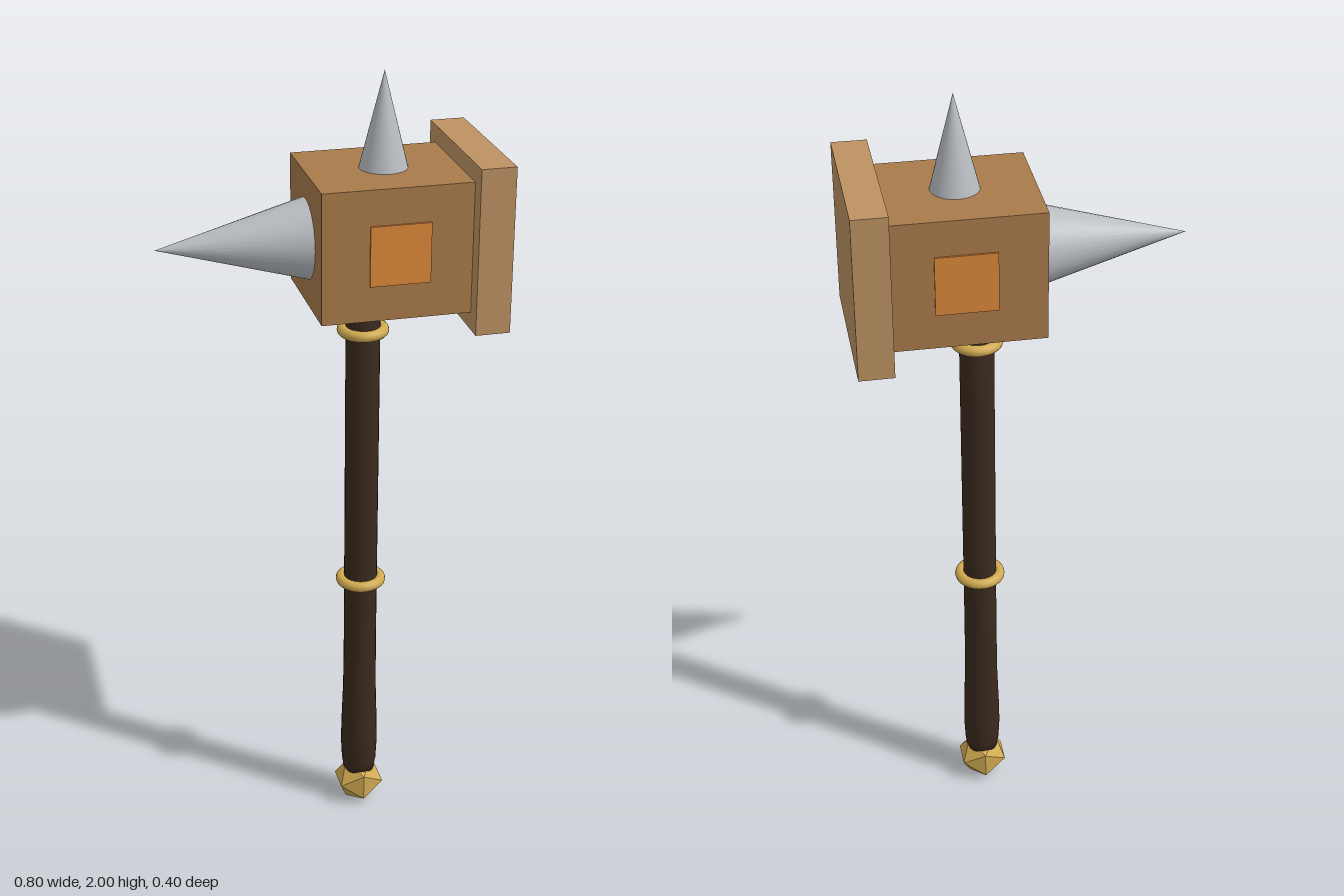
import * as THREE from 'three';

export function createModel() {
  const model = new THREE.Group();
  const mat = (color, flatShading = false) => {
    const m = new THREE.MeshStandardMaterial({ color });
    m.flatShading = flatShading;
    return m;
  };
  const wood = mat(0x3a2a1e);
  const bronze = mat(0xa87b4b);
  const paleBronze = mat(0xbc9262);
  const steel = mat(0xb9bdc2);
  const gold = mat(0xd0aa50);
  const orange = mat(0xdd8838);

  const add = (name, geometry, material, x, y, z = 0) => {
    const mesh = new THREE.Mesh(geometry, material);
    mesh.name = name;
    mesh.position.set(x, y, z);
    model.add(mesh);
    return mesh;
  };

  const shaftX = 0.098, headX = 0.137, headY = 1.613;

  // Shaft with a swelling grip at the lower end
  const profile = [
    [0, 0.09], [0.04, 0.09], [0.045, 0.12], [0.048, 0.18], [0.047, 0.24],
    [0.043, 0.36], [0.042, 0.5], [0.042, 1.48], [0, 1.48],
  ].map(([r, y]) => new THREE.Vector2(r, y));
  add('shaft', new THREE.LatheGeometry(profile, 24), wood, shaftX, 0);

  // Faceted pommel and the two shaft rings
  add('pommel', new THREE.IcosahedronGeometry(0.067, 0), mat(0xd0aa50, true), shaftX, 0.057);
  for (const [name, y] of [['lowerRing', 0.68], ['upperRing', 1.37]]) {
    const ring = add(name, new THREE.TorusGeometry(0.05, 0.0135, 12, 32), gold, shaftX, y);
    ring.rotation.x = Math.PI / 2;
  }

  // Head block and striking plate
  add('headBlock', new THREE.BoxGeometry(0.36, 0.317, 0.317), bronze, headX, headY);
  add('strikingPlate', new THREE.BoxGeometry(0.084, 0.402, 0.402), paleBronze, 0.358, headY);

  // Square inlays on the front and back
  for (const side of [1, -1]) {
    add(side > 0 ? 'frontInlay' : 'backInlay',
      new THREE.BoxGeometry(0.145, 0.145, 0.02), orange, 0.143, headY, side * 0.153);
  }

  // Spikes on the side and top
  const sideSpike = add('sideSpike', new THREE.ConeGeometry(0.097, 0.358, 32), steel, -0.221, headY);
  sideSpike.rotation.z = Math.PI / 2;
  add('topSpike', new THREE.ConeGeometry(0.058, 0.23, 32), steel, 0.143, 1.885);

  return model;
}
